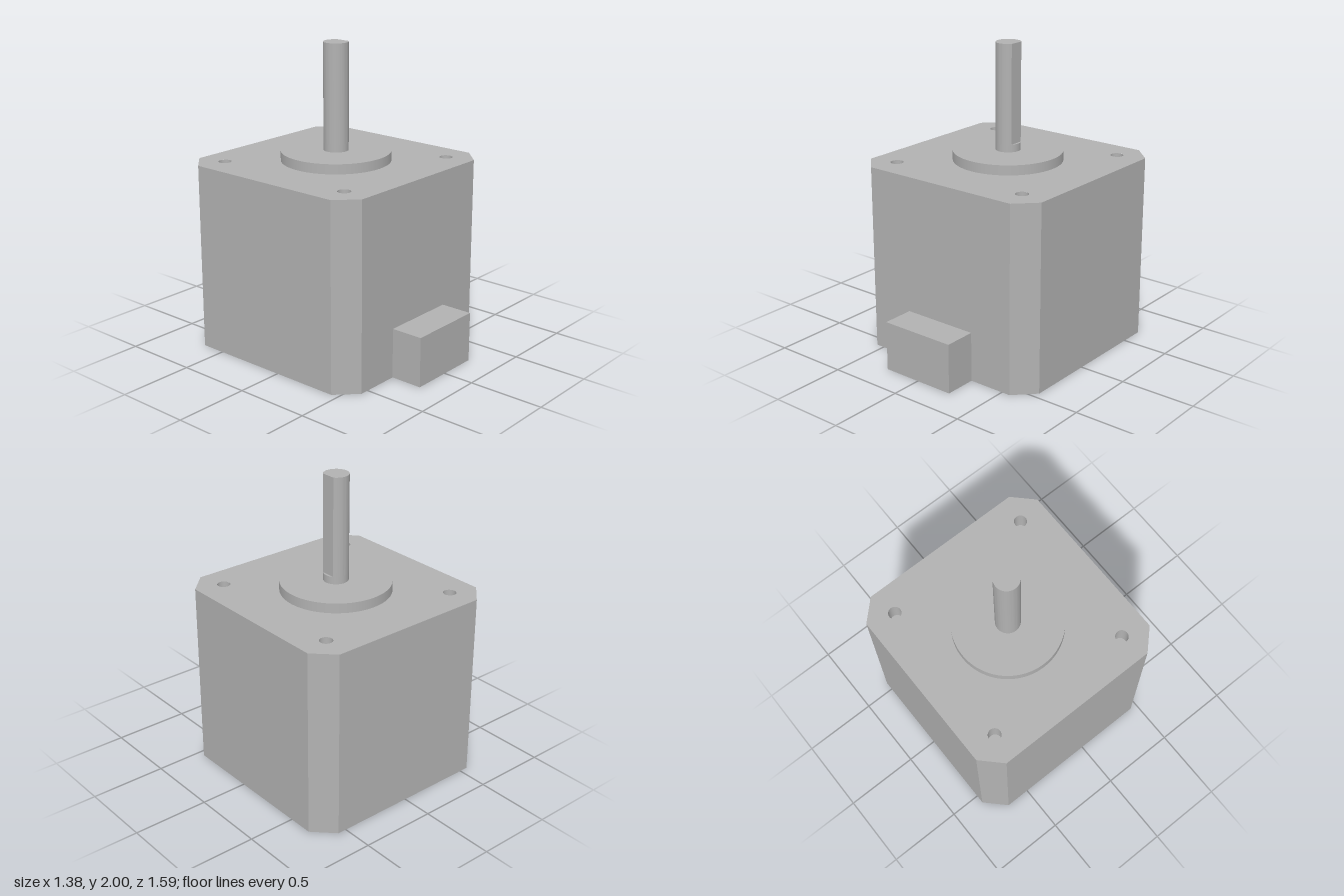
import * as THREE from 'three';
import { toCreasedNormals, mergeGeometries } from 'three/addons/utils/BufferGeometryUtils.js';

const HALF = 0.688, CHAMFER = 0.13, BODY_TOP = 1.235;
const HOLE_R = 0.042, HOLE_POS = 0.505, HOLE_DEPTH = 0.146;
const SHAFT_R = 0.081, FLAT_X = 0.065, FLAT_START = 1.35;

// Square outline with cut corners
function bodyOutline() {
  const a = HALF, b = HALF - CHAMFER;
  return new THREE.Shape([
    [a, -b], [a, b], [b, a], [-b, a], [-a, b], [-a, -b], [-b, -a], [b, -a],
  ].map(([x, y]) => new THREE.Vector2(x, y)));
}

export function createModel() {
  const model = new THREE.Group();
  model.name = 'stepperMotor';
  const metal = new THREE.MeshStandardMaterial({ color: 0xb2b2b2 });
  metal.name = 'grey metal';

  const motor = new THREE.Group();
  motor.name = 'motor';
  motor.position.z = -0.107;
  model.add(motor);
  const add = (name, geometry, x = 0, y = 0, z = 0) => {
    const mesh = new THREE.Mesh(geometry, metal);
    mesh.name = name;
    mesh.position.set(x, y, z);
    motor.add(mesh);
    return mesh;
  };

  // Body walls: four wide sides alternating with four corner chamfers
  const walls = [];
  for (let k = 0; k < 8; k++) {
    const corner = k % 2 === 1;
    const width = corner ? CHAMFER * Math.SQRT2 : 2 * (HALF - CHAMFER);
    const distance = corner ? (2 * HALF - CHAMFER) / Math.SQRT2 : HALF;
    walls.push(new THREE.PlaneGeometry(width, BODY_TOP)
      .translate(0, BODY_TOP / 2, distance)
      .rotateY(k * Math.PI / 4));
  }
  add('bodyWalls', mergeGeometries(walls));
  add('bodyBase', new THREE.ShapeGeometry(bodyOutline()).rotateX(Math.PI / 2));

  // Top plate with four blind screw holes
  const top = bodyOutline();
  for (const sx of [-1, 1]) for (const sz of [-1, 1]) {
    const x = sx * HOLE_POS, z = sz * HOLE_POS;
    top.holes.push(new THREE.Path().absarc(x, -z, HOLE_R, 0, Math.PI * 2, true));
    const wall = [new THREE.Vector2(HOLE_R, 0), new THREE.Vector2(HOLE_R, -HOLE_DEPTH)];
    add('screwHoleWall', new THREE.LatheGeometry(wall, 32), x, BODY_TOP, z);
    add('screwHoleFloor', new THREE.CircleGeometry(HOLE_R, 32).rotateX(-Math.PI / 2),
      x, BODY_TOP - HOLE_DEPTH, z);
  }
  add('bodyTop', new THREE.ShapeGeometry(top, 32).rotateX(-Math.PI / 2), 0, BODY_TOP, 0);

  // Raised centring boss
  add('boss', new THREE.CylinderGeometry(0.357, 0.357, 0.065, 96), 0, BODY_TOP + 0.0325, 0);

  // Shaft: short round root, then a D-shaped length with its flat towards +x
  add('shaftRoot', new THREE.CylinderGeometry(SHAFT_R, SHAFT_R, 0.05, 48), 0, 1.325, 0);
  const angle = Math.acos(FLAT_X / SHAFT_R);
  const dShape = new THREE.Shape();
  dShape.absarc(0, 0, SHAFT_R, angle, Math.PI * 2 - angle, false);
  dShape.closePath();
  const shaft = new THREE.ExtrudeGeometry(dShape, {
    depth: 2 - FLAT_START, bevelEnabled: false, curveSegments: 40,
  }).rotateX(-Math.PI / 2);
  add('shaft', toCreasedNormals(shaft, 0.4), 0, FLAT_START, 0);

  // Cable connector at the foot of the front side
  add('connector', new THREE.BoxGeometry(0.516, 0.328, 0.214), 0, 0.164, HALF + 0.107);

  return model;
}
